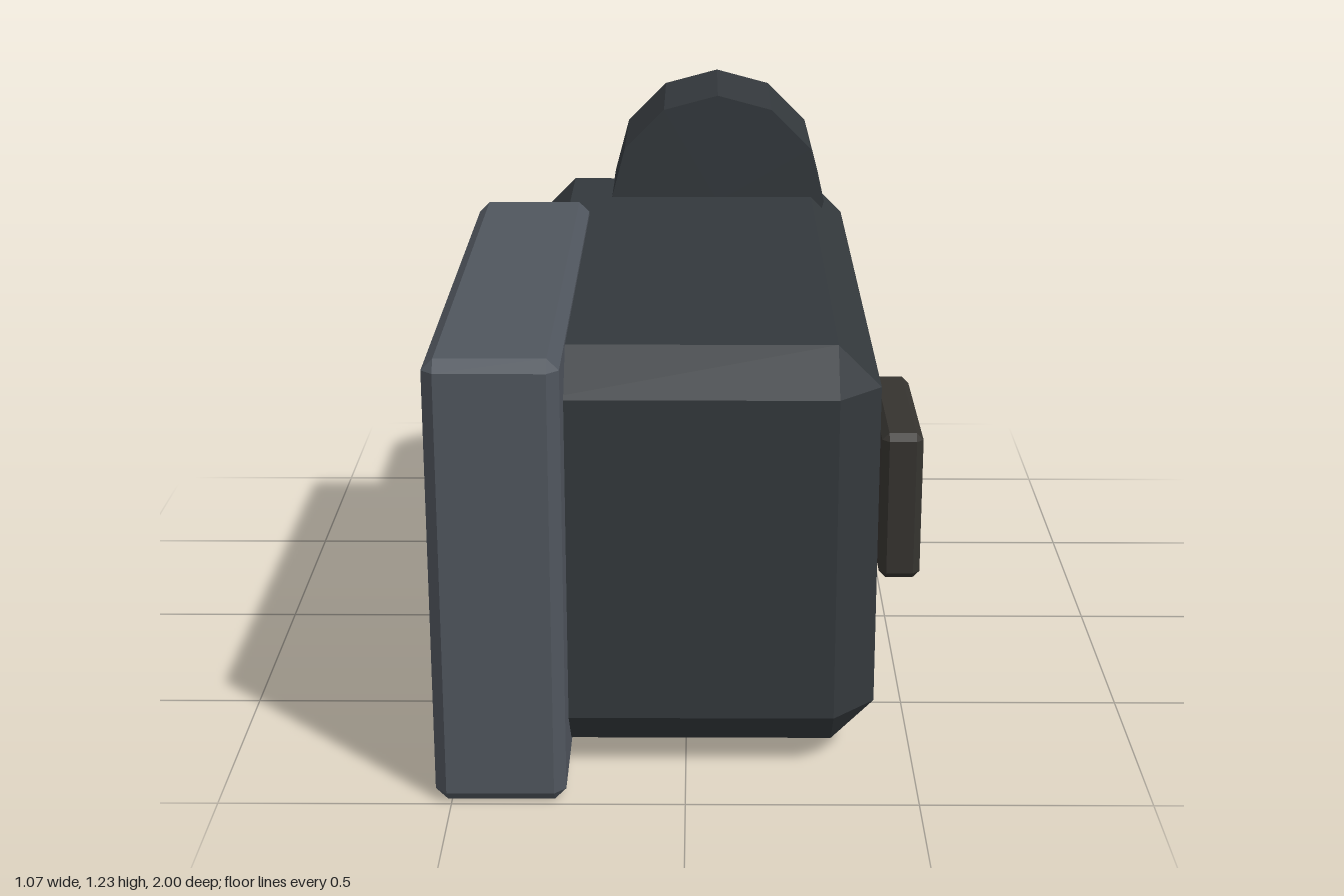
import * as THREE from 'three';
import { ConvexGeometry } from 'three/addons/geometries/ConvexGeometry.js';

const paint = (color) => new THREE.MeshStandardMaterial({ color, flatShading: true });

// Box between two corners, with flat chamfers on all edges and corners
function chamferBox(min, max, c) {
  const half = min.map((v, i) => (max[i] - v) / 2);
  const points = [];
  for (const sx of [-1, 1]) for (const sy of [-1, 1]) for (const sz of [-1, 1]) {
    for (let axis = 0; axis < 3; axis++) {
      const [x, y, z] = half.map((h, i) => (i === axis ? h : h - c));
      points.push(new THREE.Vector3(sx * x, sy * y, sz * z));
    }
  }
  const geometry = new ConvexGeometry(points);
  geometry.translate(...min.map((v, i) => (v + max[i]) / 2));
  return geometry;
}

// Faceted cylinder lying along z
function discZ(radius, sides, x, y, z0, z1) {
  return new THREE.CylinderGeometry(radius, radius, Math.abs(z1 - z0), sides)
    .rotateX(Math.PI / 2)
    .translate(x, y, (z0 + z1) / 2);
}

export function createModel() {
  const group = new THREE.Group();
  const dark = paint(0x33383c);
  const slate = paint(0x50565e);
  const brown = paint(0x35332f);
  const metal = paint(0x7a868b);
  const red = paint(0xa83c2c);

  const add = (name, geometry, material) => {
    const mesh = new THREE.Mesh(geometry, material);
    mesh.name = name;
    group.add(mesh);
  };

  // Main housing and the slab on its right side
  add('body', chamferBox([-0.405, 0.04, -0.88], [0.415, 0.955, 0.857], 0.093), dark);
  add('sidePanel', chamferBox([-0.535, 0, -0.39], [-0.255, 0.99, 1], 0.025), slate);

  // Pad and small knob standing off the left side
  add('sidePad', chamferBox([0.44, 0.32, 0.08], [0.533, 0.67, 0.525], 0.016), brown);
  add('sideKnob', new THREE.CylinderGeometry(0.09, 0.09, 0.045, 8)
    .rotateZ(Math.PI / 2).translate(0.503, 0.5, -0.045), metal);

  // Barrel on the rear top edge
  add('barrel', discZ(0.282, 12, 0.075, 0.944, -0.57, -0.948), dark);

  // Rear button with its red face
  add('buttonRing', discZ(0.211, 12, 0.05, 0.496, -0.86, -0.985), metal);
  add('buttonFace', discZ(0.117, 16, 0.05, 0.496, -0.993, -1), red);

  return group;
}
